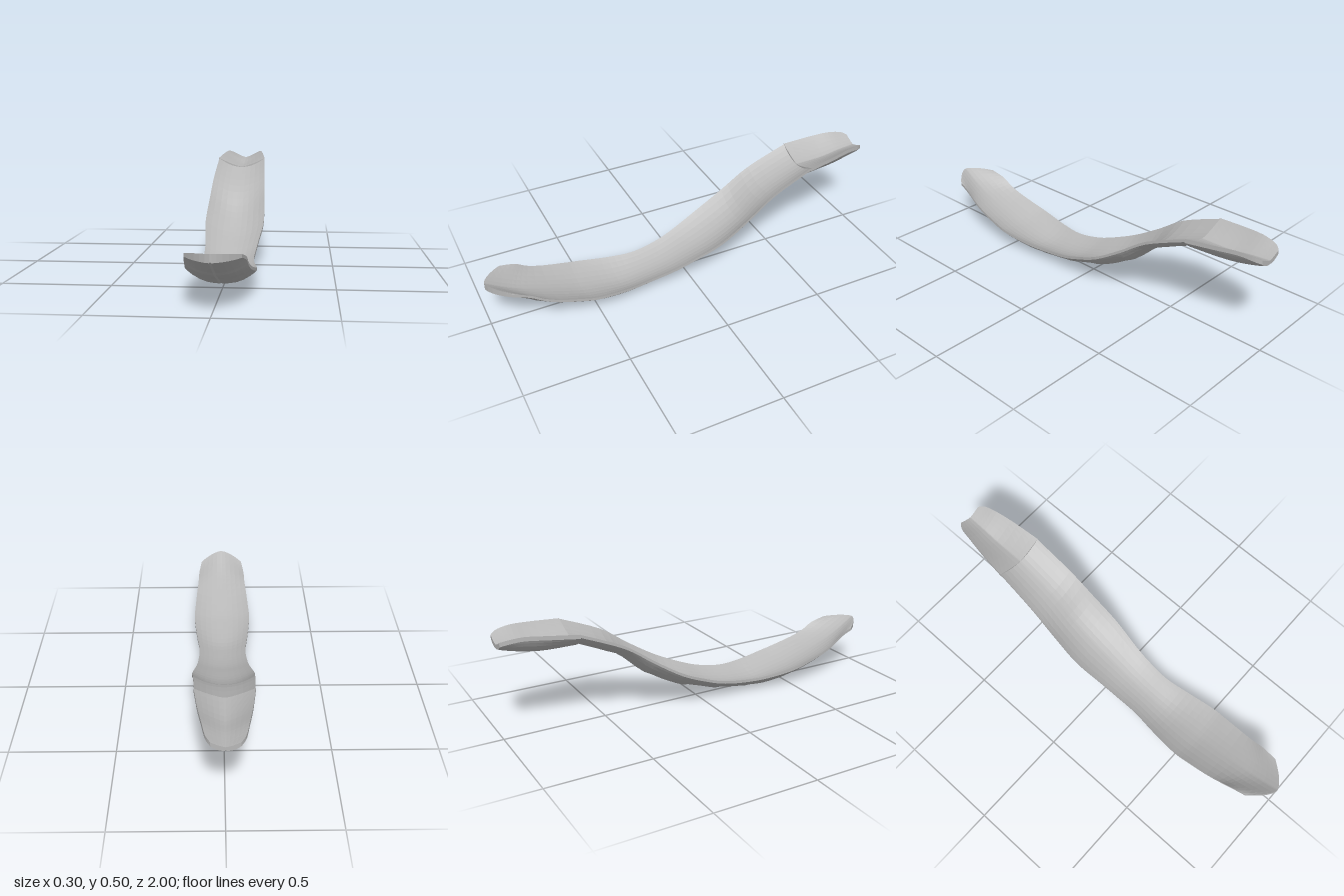
import * as THREE from 'three';

const U = [-1, -0.93, -0.8, -0.6, -0.4, -0.2, -0.04, 0, 0.04, 0.2, 0.4, 0.6, 0.8, 0.93, 1];

// Stations: z, half width, rim height, inner centre height, underside centre height
const BODY = [
  [1.0, 0.115, 0.238, 0.256, 0.225], [0.9, 0.128, 0.212, 0.195, 0.172],
  [0.8, 0.133, 0.175, 0.15, 0.128], [0.6, 0.147, 0.122, 0.08, 0.054],
  [0.5, 0.151, 0.1, 0.055, 0.03], [0.35, 0.136, 0.082, 0.032, 0.008],
  [0.22, 0.121, 0.082, 0.042, 0.022], [0.1, 0.125, 0.102, 0.062, 0.04],
  [0, 0.133, 0.135, 0.092, 0.07], [-0.15, 0.15, 0.202, 0.143, 0.12],
  [-0.3, 0.146, 0.295, 0.225, 0.205], [-0.45, 0.138, 0.397, 0.35, 0.328],
  [-0.66, 0.128, 0.487, 0.437, 0.42],
];
const CAP = [
  [-0.655, 0.13, 0.487, 0.437, 0.407], [-0.8, 0.113, 0.502, 0.44, 0.405],
  [-0.9, 0.096, 0.51, 0.455, 0.418], [-0.97, 0.081, 0.502, 0.462, 0.436],
  [-1, 0.06, 0.49, 0.465, 0.446],
];

// Smooth interpolation between stations
function sample(stations, t) {
  const f = t * (stations.length - 1);
  const i = Math.min(Math.floor(f), stations.length - 2);
  const at = (k) => stations[Math.max(0, Math.min(stations.length - 1, k))];
  const s = f - i;
  return at(i).map((p1, c) => {
    const p0 = at(i - 1)[c], p2 = at(i + 1)[c], p3 = at(i + 2)[c];
    return p1 + 0.5 * s * (p2 - p0 + s * (2 * p0 - 5 * p1 + 4 * p2 - p3 + s * (3 * (p1 - p2) + p3 - p0)));
  });
}

// Closed channel-shaped shell swept along z
function shell(stations, { rows, power, rim, ridge, point }) {
  const pos = [], idx = [], n = U.length, m = 2 * n;
  for (let r = 0; r <= rows; r++) {
    const [z, w, edge, inner, under] = sample(stations, r / rows);
    const front = THREE.MathUtils.smoothstep(z, 0.65, 1);
    // stepped overlapping bands on the underside
    const band = (((z + 2) / 0.19) % 1) * ridge;
    const put = (u, y) => pos.push(u * w, y, z - point * front * Math.abs(u) ** 1.5);
    for (const u of U) put(u, inner + (edge - inner) * Math.abs(u) ** power);
    for (const u of [...U].reverse()) {
      const a = Math.abs(u);
      const groove = a < 0.01 ? 0.005 : 0;
      put(u, under + (edge - rim - under) * a ** 2.4 + groove - band * (1 - a ** 4));
    }
  }
  for (let r = 0; r < rows; r++) {
    for (let j = 0; j < m; j++) {
      const a = r * m + j, b = r * m + ((j + 1) % m);
      idx.push(a, b, b + m, a, b + m, a + m);
    }
  }
  // end walls
  const last = rows * m;
  for (let k = 0; k < n - 1; k++) {
    const t = k, b = m - 1 - k;
    idx.push(t, b, b - 1, t, b - 1, t + 1);
    idx.push(last + t, last + t + 1, last + b - 1, last + t, last + b - 1, last + b);
  }
  const g = new THREE.BufferGeometry();
  g.setAttribute('position', new THREE.Float32BufferAttribute(pos, 3));
  g.setIndex(idx);
  g.computeVertexNormals();
  return g;
}

export function createModel() {
  const group = new THREE.Group();
  group.name = 'curvedChannel';
  const grey = new THREE.MeshStandardMaterial({ color: 0xb8b8b8, flatShading: true });
  grey.name = 'grey';

  // Long curved channel with a pointed front lip
  const body = new THREE.Mesh(
    shell(BODY, { rows: 48, power: 2, rim: 0.014, ridge: 0.006, point: 0.1 }), grey);
  body.name = 'channelBody';

  // Thicker tapered rear end with a V-shaped hollow
  const cap = new THREE.Mesh(
    shell(CAP, { rows: 14, power: 1.35, rim: 0.02, ridge: 0, point: 0 }), grey);
  cap.name = 'rearEnd';

  group.add(body, cap);
  return group;
}
